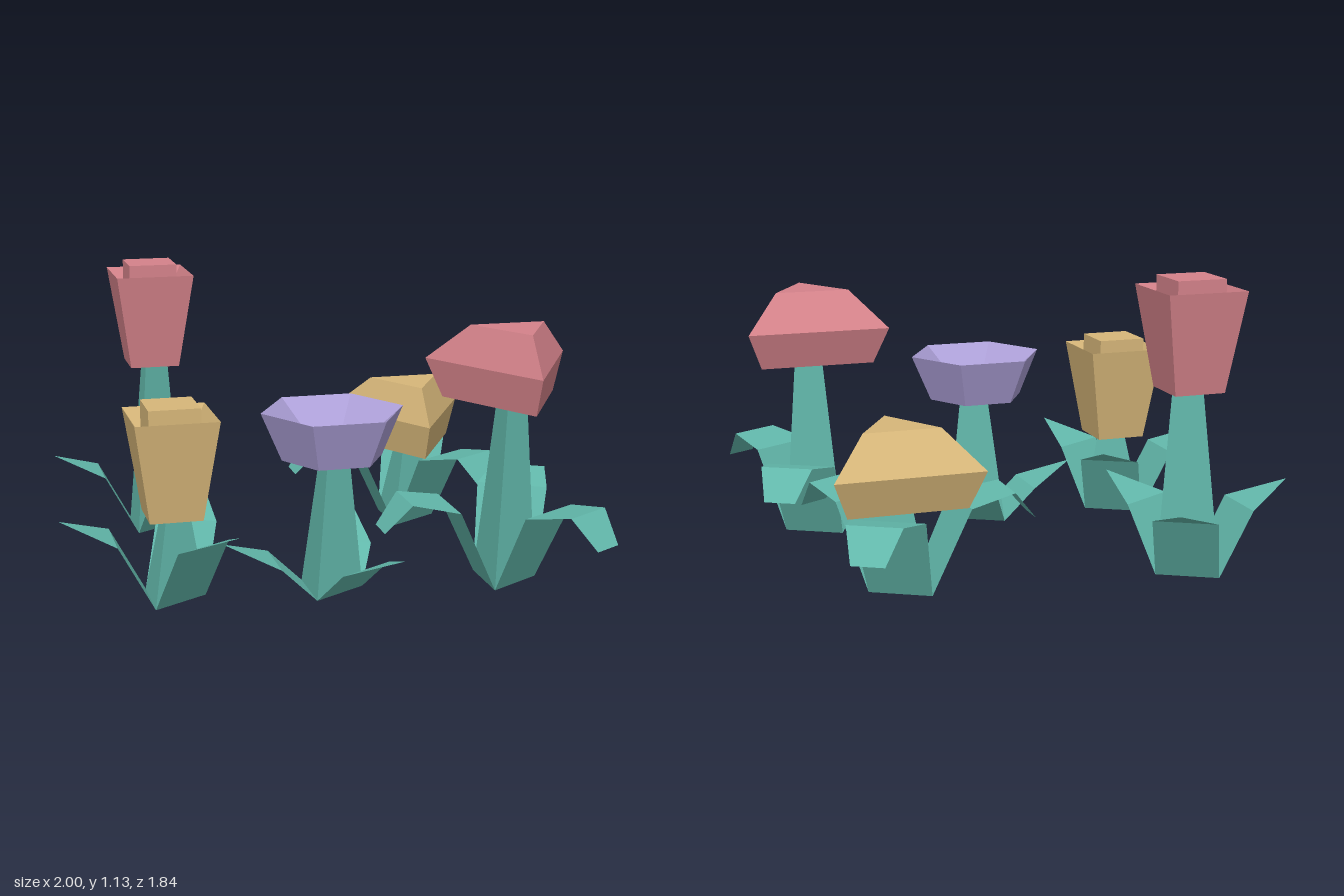
import * as THREE from 'three';

const paint = (name, color, extra = {}) => {
  const m = new THREE.MeshStandardMaterial({ color, flatShading: true, ...extra });
  m.name = name;
  return m;
};

// Faceted solid from rings [radius, y, xShift, zShift], listed bottom to top
function loft(name, rings, sides, start, material) {
  const g = new THREE.LatheGeometry(rings.map(([r, y]) => new THREE.Vector2(r, y)), sides, start);
  const p = g.attributes.position;
  for (let i = 0; i < p.count; i++) {
    const [, , dx = 0, dz = 0] = rings[i % rings.length];
    p.setX(i, p.getX(i) + dx);
    p.setZ(i, p.getZ(i) + dz);
  }
  const flat = g.toNonIndexed();
  flat.computeVertexNormals();
  const mesh = new THREE.Mesh(flat, material);
  mesh.name = name;
  return mesh;
}

// Thin folded leaf along +x from sections [reach, height, halfWidth]
function leaf(sections, material) {
  const pos = [], idx = [];
  sections.forEach(([r, y, w], i) => {
    pos.push(r, y, w, r, y, -w);
    if (i) {
      const a = 2 * i - 2;
      idx.push(a, a + 3, a + 1, a, a + 2, a + 3);
    }
  });
  const g = new THREE.BufferGeometry();
  g.setAttribute('position', new THREE.Float32BufferAttribute(pos, 3));
  g.setIndex(idx);
  const flat = g.toNonIndexed();
  flat.computeVertexNormals();
  const mesh = new THREE.Mesh(flat, material);
  mesh.name = 'leaf';
  return mesh;
}

const pointedLeaf = (lift) => [[0.07, 0, 0.121], [0.205, 0.13 + lift, 0.122], [0.405, 0.21 + lift, 0]];
const droopingLeaf = [[0.07, 0, 0.121], [0.218, 0.32, 0.138], [0.398, 0.355, 0.103], [0.493, 0.24, 0.062]];

export function createModel() {
  const green = paint('leaf green', 0x62b8ab);
  const leafGreen = paint('leaf green', 0x62b8ab, { side: THREE.DoubleSide });
  const red = paint('rose red', 0xd4828a);
  const yellow = paint('straw yellow', 0xd6b679);
  const purple = paint('lilac', 0xada0d8);
  const grey = paint('pale grey', 0xcccccc);
  const LEAN = 0.018;

  // Square cup with a raised bud inside
  const squareHead = (y, mat) => {
    const s = Math.SQRT2;
    const head = new THREE.Group();
    head.add(loft('squareCup', [[0, y], [0.1 * s, y], [0.157 * s, y + 0.385], [0.097 * s, y + 0.285], [0, y + 0.285]], 4, Math.PI / 4, mat));
    head.add(loft('bud', [[0.097 * s, y + 0.285], [0.097 * s, y + 0.425], [0, y + 0.425]], 4, Math.PI / 4, mat));
    return head;
  };

  // Open six-sided cup with a pale floor
  const hexHead = (y, mat) => {
    const head = new THREE.Group();
    head.add(loft('hexCup', [[0, y], [0.195, y], [0.275, y + 0.185], [0.137, y + 0.07]], 6, Math.PI / 2, mat));
    head.add(loft('cupFloor', [[0.137, y + 0.07], [0, y + 0.07]], 6, Math.PI / 2, grey));
    return head;
  };

  // Three-sided closed cap, widest at the middle
  const triangleHead = (y, mat) => {
    const head = new THREE.Group();
    const c = -0.018;
    head.add(loft('triangleCap', [
      [0, y, 0, c], [0.262, y, 0, c + 0.014], [0.327, y + 0.145, 0, c],
      [0.17, y + 0.29, 0, c + 0.044], [0, y + 0.29, 0, c + 0.044],
    ], 3, 0, mat));
    return head;
  };

  const flowers = [
    { name: 'redSquareFlower', x: -0.517, z: -0.577, h: 0.71, head: squareHead, mat: red, leaf: pointedLeaf(0.12) },
    { name: 'yellowSquareFlower', x: -0.597, z: 0.353, h: 0.325, head: squareHead, mat: yellow, leaf: pointedLeaf(0.12) },
    { name: 'purpleHexFlower', x: 0.006, z: 0.402, h: 0.52, head: hexHead, mat: purple, leaf: pointedLeaf(0) },
    { name: 'yellowTriangleFlower', x: 0.564, z: -0.42, h: 0.325, head: triangleHead, mat: yellow, leaf: droopingLeaf },
    { name: 'redTriangleFlower', x: 0.692, z: 0.456, h: 0.71, head: triangleHead, mat: red, leaf: droopingLeaf },
  ];

  const model = new THREE.Group();
  model.name = 'flowerPatch';
  for (const f of flowers) {
    const plant = new THREE.Group();
    plant.name = f.name;
    plant.position.set(f.x, 0, f.z);

    // Three-sided tapering stem
    plant.add(loft('stem', [[0, 0], [0.14, 0], [0.067, f.h, LEAN], [0, f.h, LEAN]], 3, Math.PI / 2, green));

    // One leaf from each side of the stem
    for (const turn of [Math.PI, Math.PI / 3, -Math.PI / 3]) {
      const l = leaf(f.leaf, leafGreen);
      l.rotation.y = turn;
      plant.add(l);
    }

    const head = f.head(f.h, f.mat);
    head.name = 'flowerHead';
    head.position.x = LEAN;
    plant.add(head);
    model.add(plant);
  }
  return model;
}
